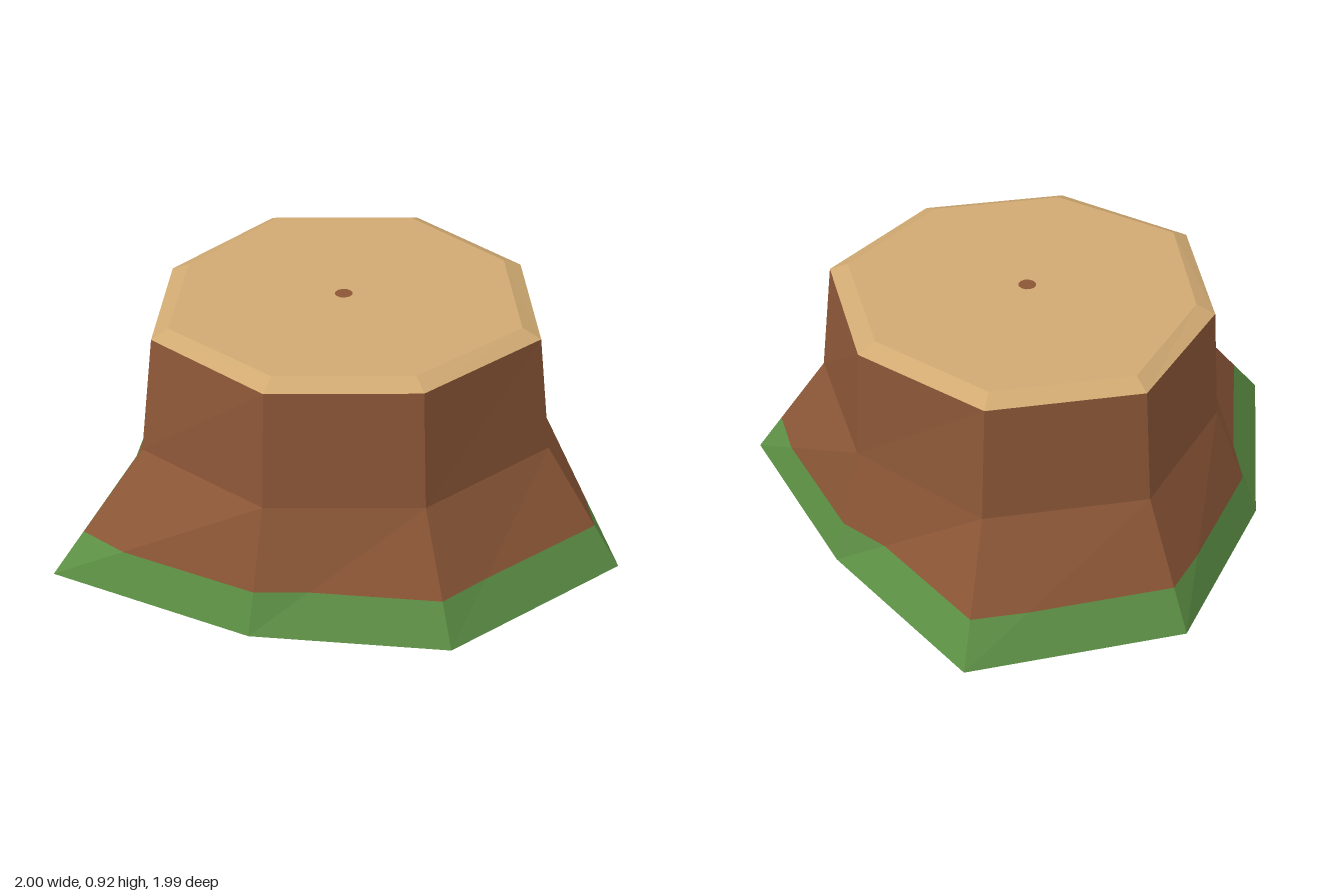
import * as THREE from 'three';

const mat = (name, color) => {
  const m = new THREE.MeshStandardMaterial({ color, side: THREE.DoubleSide, flatShading: true });
  m.name = name;
  return m;
};

// Rings of eight [x, z] corners, counter-clockwise from the front
const ring = (y, pts) => pts.map(([x, z]) => new THREE.Vector3(x, y, z));
const ROOT = ring(0, [[-0.09, 0.99], [0.6, 0.8], [1, 0.1], [0.51, -0.51],
  [-0.09, -1], [-0.83, -0.64], [-1, 0.1], [-0.91, 0.92]]);
const WAIST = ring(0.45, [[-0.09, 0.84], [0.435, 0.63], [0.71, 0.1], [0.435, -0.42],
  [-0.09, -0.69], [-0.65, -0.46], [-0.82, 0.1], [-0.65, 0.66]]);
const RIM = ring(0.89, [[-0.09, 0.805], [0.412, 0.6], [0.663, 0.1], [0.415, -0.415],
  [-0.09, -0.645], [-0.615, -0.43], [-0.785, 0.1], [-0.61, 0.615]]);
const CUT = ring(0.922, [[-0.09, 0.735], [0.365, 0.55], [0.592, 0.1], [0.365, -0.365],
  [-0.09, -0.575], [-0.57, -0.38], [-0.715, 0.1], [-0.565, 0.57]]);

// Mesh from a list of corner points, three per triangle
function facets(name, points, material) {
  const g = new THREE.BufferGeometry().setFromPoints(points);
  g.computeVertexNormals();
  const mesh = new THREE.Mesh(g, material);
  mesh.name = name;
  return mesh;
}

// Triangles joining a lower ring to an upper ring
function band(lo, hi) {
  return lo.flatMap((a, i) => {
    const j = (i + 1) % lo.length;
    return [a, lo[j], hi[j], a, hi[j], hi[i]];
  });
}

export function createModel() {
  const group = new THREE.Group();
  group.name = 'treeStump';
  const bark = mat('bark brown', 0x8b5636);
  const moss = mat('moss green', 0x5d9045);
  const wood = mat('cut wood tan', 0xd0a972);

  // Flared roots, cut level so the moss ends at one height
  const t = 0.155 / 0.45;
  const mossTris = [], rootTris = [];
  ROOT.forEach((b, i) => {
    const j = (i + 1) % ROOT.length;
    const c = ROOT[j], m = WAIST[i], n = WAIST[j];
    const p = b.clone().lerp(m, t), q = b.clone().lerp(n, t), r = c.clone().lerp(n, t);
    mossTris.push(b, c, r, b, r, q, b, q, p);
    rootTris.push(q, r, n, p, q, n, p, n, m);
  });
  group.add(facets('mossBand', mossTris, moss));
  group.add(facets('flaredRoots', rootTris, bark));

  // Trunk
  group.add(facets('trunk', band(WAIST, RIM), bark));

  // Bevelled cut top
  const centre = new THREE.Vector3(-0.09, 0.922, 0.1);
  const topTris = CUT.flatMap((a, i) => [centre, a, CUT[(i + 1) % CUT.length]]);
  group.add(facets('cutBevel', band(RIM, CUT), wood));
  group.add(facets('cutTop', topTris, wood));

  // Pith at the middle of the cut
  const pith = new THREE.Mesh(new THREE.CircleGeometry(0.033, 12), bark);
  pith.name = 'pith';
  pith.rotation.x = -Math.PI / 2;
  pith.position.set(-0.09, 0.9235, 0.1);
  group.add(pith);

  return group;
}
